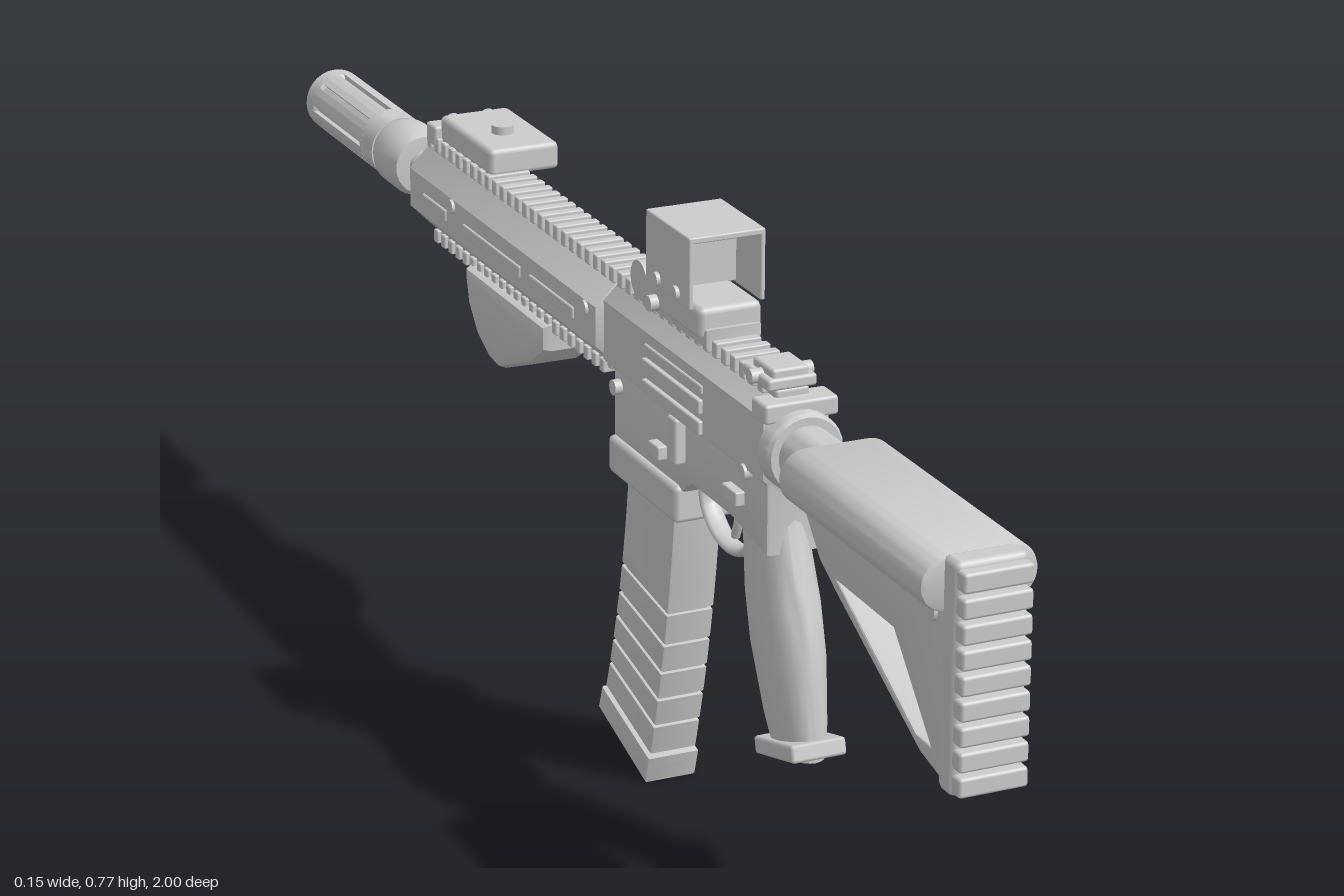
import * as THREE from 'three';
import { RoundedBoxGeometry } from 'three/addons/geometries/RoundedBoxGeometry.js';
import { toCreasedNormals } from 'three/addons/utils/BufferGeometryUtils.js';

const grey = new THREE.MeshStandardMaterial({ color: 0xcccccc });
grey.name = 'plain grey';
const AXIS = 0.575; // height of the barrel line

export function createModel() {
  const root = new THREE.Group();

  const add = (name, geo, x = 0, y = 0, z = 0) => {
    const m = new THREE.Mesh(geo, grey);
    m.name = name;
    m.position.set(x, y, z);
    root.add(m);
    return m;
  };
  // Box given by its limits, with small rounded edges
  const box = (name, x0, x1, y0, y1, z0, z1, r = 0.004) =>
    add(name, new RoundedBoxGeometry(x1 - x0, y1 - y0, z1 - z0, 1, r),
      (x0 + x1) / 2, (y0 + y1) / 2, (z0 + z1) / 2);
  const bevelled = (shape, depth, bevel) => {
    const g = new THREE.ExtrudeGeometry(shape, {
      depth: depth - 2 * bevel, bevelEnabled: bevel > 0, bevelSize: bevel,
      bevelThickness: bevel, bevelOffset: -bevel, bevelSegments: 2, curveSegments: 10,
    });
    return g.translate(0, 0, bevel - depth / 2);
  };
  const poly = (pts) => new THREE.Shape(pts.map((p) => new THREE.Vector2(...p)));
  // Side profile in (z, y), extruded across x
  const side = (name, pts, width, bevel = 0.005, hole = null) => {
    const s = poly(pts);
    if (hole) s.holes.push(poly(hole));
    const g = bevelled(s, width, bevel).rotateY(-Math.PI / 2);
    return add(name, toCreasedNormals(g, 0.6));
  };
  // Cross-section in (x, y), extruded along z
  const along = (name, shape, z0, z1, bevel = 0.004) =>
    add(name, toCreasedNormals(bevelled(shape, z1 - z0, bevel), 0.6), 0, 0, (z0 + z1) / 2);
  const chamfered = (w, y0, y1, c) => poly([[-w + c, y0], [w - c, y0], [w, y0 + c], [w, y1 - c],
    [w - c, y1], [-w + c, y1], [-w, y1 - c], [-w, y0 + c]]);
  // Turned part along z from [radius, z] points
  const turned = (name, pts, y = AXIS) => {
    const g = new THREE.LatheGeometry(pts.map((p) => new THREE.Vector2(p[0], p[1])), 28);
    return add(name, toCreasedNormals(g.rotateX(Math.PI / 2), 0.6), 0, y, 0);
  };
  // Pin lying across x
  const pin = (name, r, x0, x1, y, z) =>
    add(name, new THREE.CylinderGeometry(r, r, x1 - x0, 18).rotateZ(Math.PI / 2), (x0 + x1) / 2, y, z);

  // Stock: cheek tube, pierced web, ribbed butt pad
  const cheek = new THREE.Shape();
  cheek.absarc(0.039, 0.58, 0.034, -Math.PI / 2, Math.PI / 2);
  cheek.absarc(-0.039, 0.58, 0.034, Math.PI / 2, Math.PI * 1.5);
  along('stockCheek', cheek, 0.6, 0.955, 0.006);
  side('stockWeb', [[0.96, 0.337], [0.96, 0.57], [0.596, 0.57], [0.596, 0.53], [0.634, 0.487],
    [0.676, 0.463], [0.89, 0.353]], 0.07, 0.003,
  [[0.915, 0.37], [0.88, 0.37], [0.68, 0.478], [0.82, 0.475]]);
  box('buttPad', -0.045, 0.045, 0.337, 0.615, 0.95, 0.985, 0.008);
  for (let i = 0; i < 9; i++) {
    const y = 0.342 + i * 0.0302;
    box('buttRib', -0.043, 0.043, y, y + 0.024, 0.975, 1.0);
  }
  pin('stockPin', 0.016, -0.04, 0.04, 0.535, 0.91);

  // Stock tube and end ring
  turned('stockTube', [[0.0, 0.48], [0.036, 0.48], [0.036, 0.61], [0, 0.61]], 0.572);
  turned('tubeRing', [[0, 0.495], [0.046, 0.495], [0.05, 0.5], [0.05, 0.522], [0.046, 0.528], [0, 0.528]], 0.572);

  // Receiver
  along('upperReceiver', chamfered(0.043, 0.515, 0.632, 0.02), 0.04, 0.5);
  side('lowerReceiver', [[0.5, 0.53], [0.06, 0.53], [0.06, 0.435], [0.262, 0.435], [0.29, 0.455],
    [0.4, 0.455], [0.5, 0.44]], 0.074);
  box('magazineWell', -0.045, 0.045, 0.393, 0.442, 0.06, 0.262, 0.007);
  for (const s of [1, -1]) {
    const strip = (name, y0, y1, z0, z1, t = 0.006) => {
      const a = s * 0.034, b = s * (0.043 + t);
      box(name, Math.min(a, b), Math.max(a, b), y0, y1, z0, z1, 0.002);
    };
    strip('receiverPanel', 0.535, 0.553, 0.17, 0.335);
    strip('receiverPanel', 0.562, 0.58, 0.17, 0.335);
    strip('receiverPanel', 0.587, 0.598, 0.17, 0.335, 0.003);
    pin('receiverPin', 0.01, Math.min(0, s * 0.047), Math.max(0, s * 0.047), 0.53, 0.45);
    pin('receiverPin', 0.01, Math.min(0, s * 0.047), Math.max(0, s * 0.047), 0.51, 0.08);
    strip('magazineCatch', 0.462, 0.48, 0.19, 0.22);
    strip('selectorBody', 0.482, 0.5, 0.4, 0.44);
  }
  const bolt = add('boltAssist', new THREE.CapsuleGeometry(0.015, 0.05, 4, 12).rotateX(Math.PI / 2), 0.046, 0.557, 0.435);
  bolt.rotation.y = 0.2;
  const selector = box('selectorLever', 0.036, 0.056, 0.485, 0.499, 0.39, 0.44);
  selector.rotation.x = 0.25;
  box('chargingHandle', -0.045, 0.05, 0.608, 0.632, 0.47, 0.51);
  box('boltCatch', -0.052, -0.036, 0.475, 0.535, 0.25, 0.275);

  // Trigger and guard
  const guard = new THREE.CatmullRomCurve3([[0.41, 0.455], [0.39, 0.405], [0.345, 0.385], [0.3, 0.39],
    [0.268, 0.415], [0.26, 0.44]].map(([z, y]) => new THREE.Vector3(0, y, z)));
  add('triggerGuard', new THREE.TubeGeometry(guard, 24, 0.007, 8)).scale.x = 2;
  const trigger = new THREE.CatmullRomCurve3([[0.335, 0.47], [0.348, 0.43], [0.338, 0.4]]
    .map(([z, y]) => new THREE.Vector3(0, y, z)));
  add('trigger', new THREE.TubeGeometry(trigger, 10, 0.006, 8));

  // Pistol grip: turned oval, leaning back
  const gripProfile = [[0, -0.27], [0.7, -0.27], [0.84, -0.23], [1, -0.15], [1, -0.09], [0.9, -0.03], [0.9, 0.02], [0, 0.02]];
  const grip = new THREE.LatheGeometry(gripProfile.map((p) => new THREE.Vector2(...p)), 24);
  const lean = new THREE.Matrix4().set(0.039, 0, 0, 0, 0, 1, 0, 0, 0, -0.27, 0.066, 0, 0, 0, 0, 1);
  add('grip', toCreasedNormals(grip.applyMatrix4(lean), 0.7), 0, 0.465, 0.445);
  box('gripBase', -0.036, 0.036, 0.19, 0.212, 0.468, 0.575).rotation.x = -0.27;

  // Magazine: slices of a forward curve
  const at = (t, dz) => {
    const z = 0.165 - 0.035 * t - 0.045 * t * t;
    return [z + dz, 0.425 - 0.385 * t - dz * 0.3 * t];
  };
  const slice = (name, t0, t1, half, width) => {
    const n = 6, pts = [];
    for (let i = 0; i <= n; i++) pts.push(at(t0 + (t1 - t0) * i / n, half));
    for (let i = n; i >= 0; i--) pts.push(at(t0 + (t1 - t0) * i / n, -half));
    side(name, pts, width, 0.003);
  };
  slice('magazineCore', 0, 0.99, 0.064, 0.056);
  const cuts = [0, 0.43, 0.54, 0.64, 0.74, 0.84, 0.95];
  for (let i = 0; i < cuts.length - 1; i++) slice('magazineSegment', cuts[i], cuts[i + 1] - 0.012, 0.069, 0.064);
  slice('magazineBase', 0.95, 1.04, 0.073, 0.07);

  // Handguard, with side strips and screws
  along('handguard', chamfered(0.055, 0.52, 0.637, 0.032), -0.575, 0.045, 0.006);
  for (const s of [1, -1]) {
    for (const [z0, z1] of [[-0.16, -0.02], [-0.38, -0.19], [-0.52, -0.44]]) {
      const a = s * 0.05, b = s * 0.058;
      box('handguardStrip', Math.min(a, b), Math.max(a, b), 0.568, 0.584, z0, z1, 0.002);
    }
    for (const z of [0.015, -0.42]) pin('handguardScrew', 0.01, Math.min(0, s * 0.059), Math.max(0, s * 0.059), 0.595, z);
  }

  // Toothed rails
  const rail = (name, y0, y1, z0, z1, w) => {
    for (let z = z0; z < z1; z += 0.025) box(name, -w, w, y0, y1, z, z + 0.014, 0.002);
  };
  box('topRail', -0.022, 0.022, 0.625, 0.642, -0.57, 0.49);
  rail('topRailTooth', 0.632, 0.652, -0.57, 0.48, 0.03);
  box('bottomRail', -0.022, 0.022, 0.508, 0.53, -0.555, 0.02);
  rail('bottomRailTooth', 0.502, 0.52, -0.555, 0.01, 0.028);

  // Front hand stop
  side('handStop', [[-0.16, 0.51], [-0.16, 0.475], [-0.2, 0.445], [-0.31, 0.402], [-0.345, 0.405],
    [-0.385, 0.425], [-0.415, 0.46], [-0.425, 0.51]], 0.08, 0.014);

  // Barrel and vented muzzle tube
  turned('barrel', [[0, -0.7], [0.021, -0.7], [0.021, -0.55], [0, -0.55]]);
  turned('muzzleCollar', [[0.025, -0.75], [0.04, -0.745], [0.047, -0.725], [0.047, -0.675], [0.04, -0.658], [0, -0.655]]);
  turned('muzzleCore', [[0, -0.96], [0.017, -0.96], [0.017, -0.995], [0.02, -1], [0.037, -1], [0.044, -0.992],
    [0.044, -0.965], [0.038, -0.962], [0.038, -0.79], [0.044, -0.785], [0.044, -0.74], [0, -0.74]]);
  for (let i = 0; i < 8; i++) {
    const land = new THREE.Shape(), a = i * Math.PI / 4 + Math.PI / 8;
    land.absarc(0, 0, 0.044, a - 0.3, a + 0.3, false);
    land.absarc(0, 0, 0.034, a + 0.3, a - 0.3, true);
    along('muzzleLand', land, -0.97, -0.78, 0).position.y = AXIS;
  }

  // Hooded sight on its clamp
  box('sightBase', -0.043, 0.04, 0.65, 0.69, 0.16, 0.325, 0.008);
  side('sightClamp', [[0.33, 0.64], [0.33, 0.665], [0.13, 0.665], [0.13, 0.64]], 0.074);
  pin('sightDrum', 0.024, -0.042, 0.04, 0.672, 0.147);
  pin('sightKnob', 0.01, -0.054, -0.03, 0.66, 0.2);
  box('sightRoof', -0.05, 0.05, 0.767, 0.775, 0.185, 0.31, 0.002);
  box('sightLens', -0.046, 0.046, 0.688, 0.77, 0.235, 0.241, 0.002);
  for (const s of [1, -1]) {
    box('sightWall', s * 0.047 - 0.003, s * 0.047 + 0.003, 0.685, 0.775, 0.185, 0.31, 0.002);
    for (const z of [0.22, 0.275]) pin('sightScrew', 0.009, s * 0.05 - 0.005, s * 0.05 + 0.005, 0.697, z);
  }
  pin('sightDial', 0.01, 0.04, 0.06, 0.698, 0.22);

  // Folded rear sight
  box('rearSight', -0.032, 0.032, 0.64, 0.655, 0.42, 0.49);
  box('rearSightLeaf', -0.024, 0.024, 0.65, 0.665, 0.43, 0.485);
  pin('rearSightScrew', 0.009, -0.04, 0.04, 0.65, 0.455);

  // Offset light box, with folded front sight
  box('lightBox', -0.025, 0.073, 0.648, 0.685, -0.535, -0.36, 0.007);
  add('lightButton', new THREE.CylinderGeometry(0.015, 0.015, 0.016, 18), 0.022, 0.688, -0.43);
  for (const x of [0.0, 0.05]) {
    add('lightLens', new THREE.CylinderGeometry(0.013, 0.013, 0.02, 18).rotateX(Math.PI / 2), x, 0.667, -0.54);
  }
  box('frontSight', -0.032, 0.032, 0.64, 0.668, -0.568, -0.535);

  return root;
}
